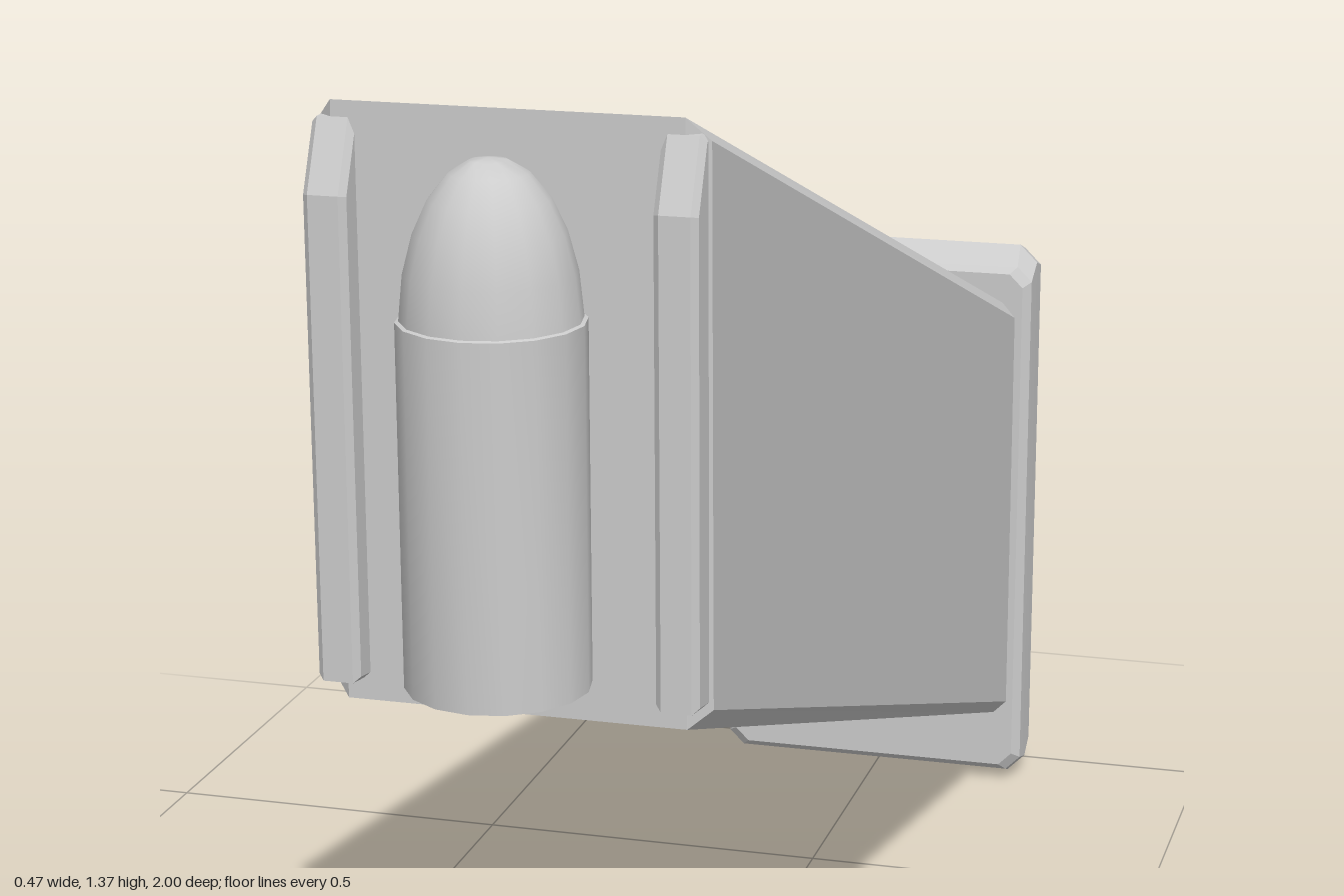
import * as THREE from 'three';
import { toCreasedNormals } from 'three/addons/utils/BufferGeometryUtils.js';

// Side profile given as [z, y] points, widened along x with chamfered edges
function sideExtrude(points, width, bevel) {
  const shape = new THREE.Shape(points.map(([z, y]) => new THREE.Vector2(z, y)));
  const depth = width - 2 * bevel;
  const geo = new THREE.ExtrudeGeometry(shape, {
    depth, bevelEnabled: true, bevelSegments: 1,
    bevelSize: bevel, bevelThickness: bevel, bevelOffset: -bevel,
  });
  geo.translate(0, 0, -depth / 2);
  geo.rotateY(-Math.PI / 2);
  return geo;
}

// Rectangular rings with cut corners, joined from front to back and capped
function ringLoft(rings) {
  const pos = [], index = [], n = 8;
  for (const { z, w, y0, y1, c, lean = 0 } of rings) {
    const outline = [
      [w - c, y0], [w, y0 + c], [w, y1 - c], [w - c, y1],
      [c - w, y1], [-w, y1 - c], [-w, y0 + c], [c - w, y0],
    ];
    for (const [x, y] of outline) pos.push(x, y, z + lean * (y - y0) / (y1 - y0));
  }
  for (let r = 0; r < rings.length - 1; r++) {
    for (let i = 0; i < n; i++) {
      const a = r * n + i, b = r * n + (i + 1) % n;
      index.push(a, a + n, b, b, a + n, b + n);
    }
  }
  const last = (rings.length - 1) * n;
  for (let i = 1; i < n - 1; i++) {
    index.push(0, i, i + 1);
    index.push(last, last + i + 1, last + i);
  }
  const geo = new THREE.BufferGeometry();
  geo.setAttribute('position', new THREE.Float32BufferAttribute(pos, 3));
  geo.setIndex(index);
  return toCreasedNormals(geo, 0.35);
}

export function createModel() {
  const model = new THREE.Group();
  const grey = new THREE.MeshStandardMaterial({ color: 0xcccccc });
  grey.name = 'light grey';

  const add = (name, geo, x = 0, y = 0, z = 0) => {
    const mesh = new THREE.Mesh(geo, grey);
    mesh.name = name;
    mesh.position.set(x, y, z);
    model.add(mesh);
  };

  // Slanted box body
  add('body', sideExtrude([[0.845, 0.71], [0.845, 1.37], [-0.89, 0.77], [-0.89, 0.115]], 0.43, 0.023));

  // Base plate at the back
  add('basePlate', ringLoft([
    { z: -0.887, w: 0.222, y0: 0.03, y1: 0.815, c: 0.02 },
    { z: -0.897, w: 0.234, y0: 0.02, y1: 0.825, c: 0.022 },
    { z: -0.938, w: 0.234, y0: 0.004, y1: 0.85, c: 0.026 },
    { z: -0.982, w: 0.232, y0: 0.022, y1: 0.835, c: 0.024 },
    { z: -1.0, w: 0.218, y0: 0.045, y1: 0.815, c: 0.02, lean: 0.01 },
  ]));

  // Feed lips, mirrored on both sides of the front face
  for (const side of [-1, 1]) {
    add(side > 0 ? 'leftFeedLip' : 'rightFeedLip',
      sideExtrude([[0.83, 0.733], [0.88, 0.74], [0.88, 1.275], [0.845, 1.352], [0.83, 1.352]], 0.048, 0.007),
      side * 0.19);
  }

  // Cartridge: straight case and domed tip
  const lathe = (pts) => toCreasedNormals(
    new THREE.LatheGeometry(pts.map(([r, y]) => new THREE.Vector2(r, y)), 16), 0.7);
  add('cartridgeCase', lathe([[0, 0.763], [0.1, 0.763], [0.1, 1.16], [0.094, 1.162]]), 0, 0, 0.9);
  add('cartridgeTip', lathe([
    [0.096, 1.16], [0.091, 1.21], [0.08, 1.252], [0.064, 1.287], [0.042, 1.314], [0.02, 1.327], [0, 1.33],
  ]), 0, 0, 0.9);

  return model;
}
